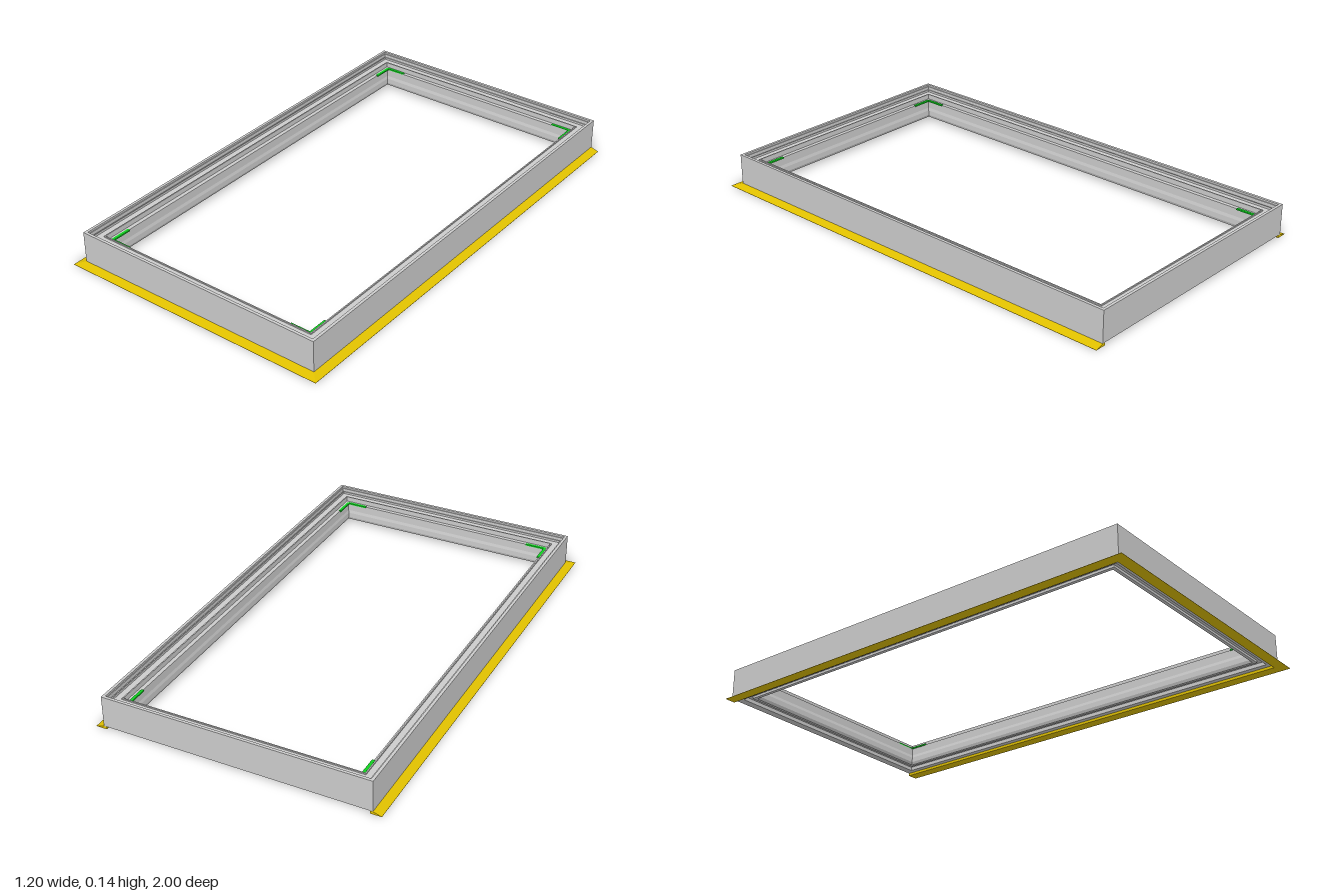
import * as THREE from 'three';

const HX = 0.565, BACK = -1, FRONT = 0.965; // outer faces of the frame

// Sweep a profile of [inset, height] points through mitred corners.
// Each corner maps an inset to [x, z]; an open sweep gets flat end caps.
function sweep(profile, corners, closed) {
  const pos = [];
  const at = (c, p) => {
    const [x, z] = corners[c % corners.length](p[0]);
    return [x, p[1], z];
  };
  const tri = (a, b, c) => pos.push(...a, ...b, ...c);
  const n = profile.length, spans = closed ? corners.length : corners.length - 1;
  for (let c = 0; c < spans; c++) {
    for (let k = 0; k < n; k++) {
      const p = profile[k], q = profile[(k + 1) % n];
      tri(at(c, p), at(c + 1, p), at(c + 1, q));
      tri(at(c, p), at(c + 1, q), at(c, q));
    }
  }
  if (!closed) {
    const e = corners.length - 1;
    for (let k = 1; k < n - 1; k++) {
      tri(at(0, profile[0]), at(0, profile[k]), at(0, profile[k + 1]));
      tri(at(e, profile[0]), at(e, profile[k + 1]), at(e, profile[k]));
    }
  }
  const g = new THREE.BufferGeometry();
  g.setAttribute('position', new THREE.Float32BufferAttribute(pos, 3));
  g.computeVertexNormals();
  return g;
}

export function createModel() {
  const root = new THREE.Group();
  root.name = 'windowFrame';
  const grey = new THREE.MeshStandardMaterial({ color: 0xcccccc, flatShading: true });
  const yellow = new THREE.MeshStandardMaterial({ color: 0xe0c000, flatShading: true });
  const green = new THREE.MeshStandardMaterial({ color: 0x10d020, flatShading: true });
  const add = (name, geometry, material, parent = root) => {
    const m = new THREE.Mesh(geometry, material);
    m.name = name;
    parent.add(m);
    return m;
  };

  // Stepped frame: outer wall, top lip, rebates, inner wall, grooved underside
  const frameProfile = [
    [0, 0.012], [0, 0.145], [0.012, 0.145], [0.012, 0.137], [0.016, 0.137],
    [0.016, 0.122], [0.022, 0.122], [0.022, 0.126], [0.026, 0.126], [0.026, 0.117],
    [0.054, 0.117], [0.054, 0.122], [0.059, 0.122], [0.059, 0.1], [0.076, 0.1],
    [0.076, 0.065], [0.079, 0.052], [0.079, 0.03], [0.074, 0.018],
    [0.06, 0.018], [0.06, 0.028], [0.034, 0.028], [0.034, 0.012],
  ];
  add('frame', sweep(frameProfile, [
    d => [-HX + d, BACK + d], d => [-HX + d, FRONT - d],
    d => [HX - d, FRONT - d], d => [HX - d, BACK + d],
  ], true), grey);

  // Wedge trim around the two long sides and the front
  const trimProfile = [[-0.035, 0], [-0.035, 0.001], [0, 0.0115], [0.012, 0.0115], [0.012, 0]];
  add('trim', sweep(trimProfile, [
    d => [-HX + d, BACK], d => [-HX + d, FRONT - d],
    d => [HX - d, FRONT - d], d => [HX - d, BACK],
  ], false), yellow);

  // L-shaped corner clips on the inner ledge
  const len = 0.09, w = 0.012, h = 0.006, y = 0.1;
  for (const sx of [-1, 1]) {
    for (const sz of [-1, 1]) {
      const clip = new THREE.Group();
      clip.name = 'cornerClip';
      const x = sx * (HX - 0.076);
      const z = sz > 0 ? FRONT - 0.076 : BACK + 0.07;
      add('longArm', new THREE.BoxGeometry(w, h, len), green, clip)
        .position.set(x, y, z - sz * len / 2);
      add('shortArm', new THREE.BoxGeometry(len, h, w), green, clip)
        .position.set(x - sx * len / 2, y, z);
      root.add(clip);
    }
  }
  return root;
}
